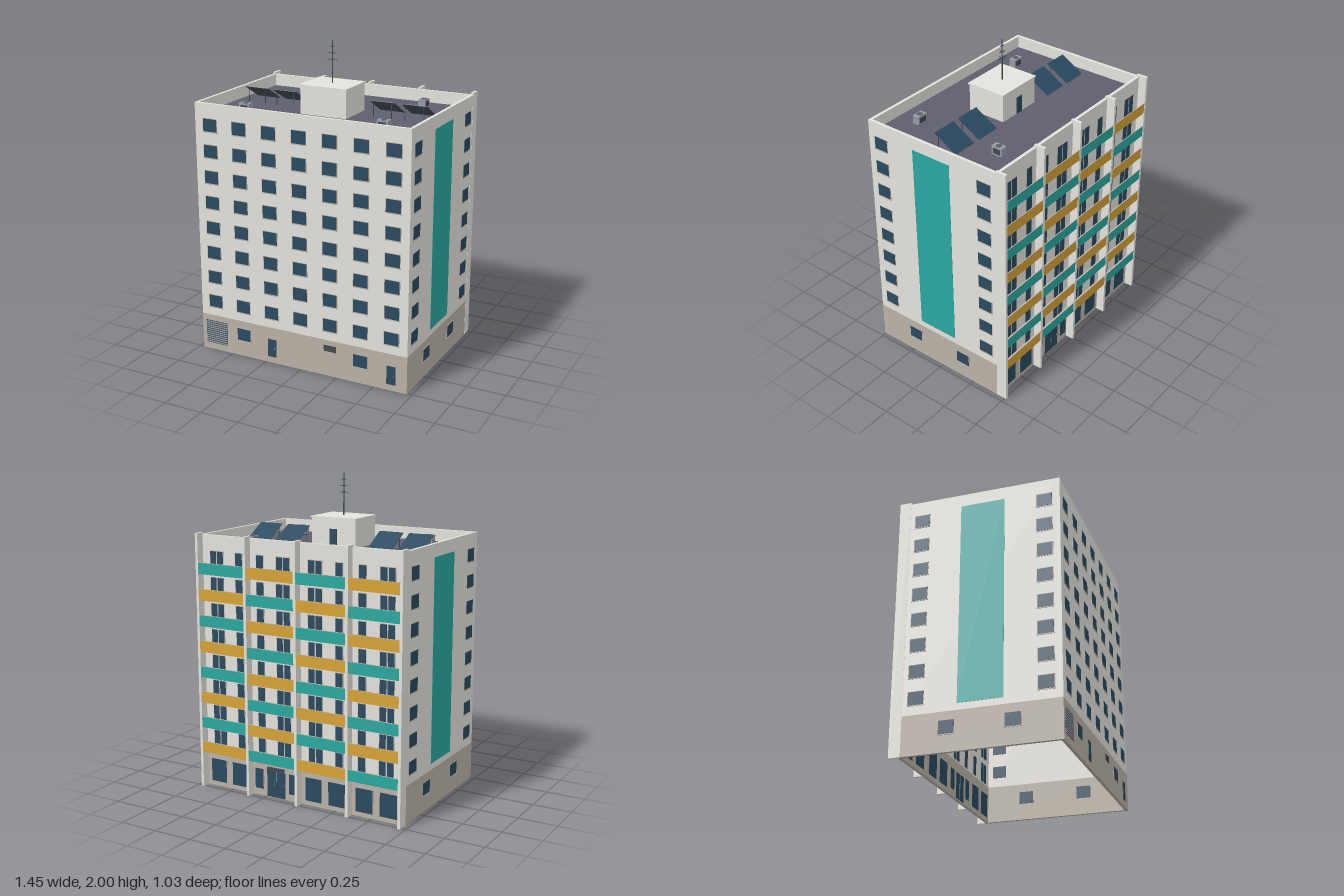
import * as THREE from 'three';

const mat = (name, color) => {
  const m = new THREE.MeshStandardMaterial({ color });
  m.name = name;
  return m;
};

export function createModel() {
  const M = {
    wall: mat('off white plaster', 0xe4e2dc),
    base: mat('taupe stone', 0xbab2a6),
    roof: mat('slate roofing', 0x5e5e6d),
    glass: mat('dark blue glass', 0x2a4a60),
    teal: mat('teal paint', 0x2aa89f),
    ochre: mat('ochre paint', 0xd6a235),
    metal: mat('grey metal', 0x959ca7),
    dark: mat('dark metal', 0x434950),
  };
  const root = new THREE.Group();
  root.name = 'apartmentBlock';

  const group = (name, parent = root) => {
    const g = new THREE.Group();
    g.name = name;
    parent.add(g);
    return g;
  };
  const add = (name, geo, m, x, y, z, parent) => {
    const mesh = new THREE.Mesh(geo, m);
    mesh.name = name;
    mesh.position.set(x, y, z);
    parent.add(mesh);
    return mesh;
  };
  const box = (name, m, w, h, d, x, y, z, parent = root) =>
    add(name, new THREE.BoxGeometry(w, h, d), m, x, y, z, parent);

  // Shell: four walls open underneath, with a stone ground floor
  const HX = 0.719, ZF = 0.508, ZB = -0.458, T = 0.02, MZ = (ZF + ZB) / 2, D = ZF - ZB;
  const ring = (name, m, y0, y1) => {
    const g = group(name), h = y1 - y0, y = (y0 + y1) / 2;
    box('frontWall', m, 2 * HX, h, T, 0, y, ZF - T / 2, g);
    box('backWall', m, 2 * HX, h, T, 0, y, ZB + T / 2, g);
    for (const s of [-1, 1])
      box('sideWall', m, T, h, D - 2 * T, s * (HX - T / 2), y, MZ, g);
  };
  ring('groundFloorWalls', M.base, 0, 0.24);
  ring('upperWalls', M.wall, 0.24, 1.63);
  const DECK = 1.553;
  box('roofDeck', M.roof, 2 * (HX - T), 0.012, D - 2 * T, 0, DECK - 0.006, MZ);

  // Facade frames: local +z points out of the wall, local z = 0 is its surface
  const facade = (name, x, z, ry) => {
    const g = group(name);
    g.position.set(x, 0, z);
    g.rotation.y = ry;
    return g;
  };
  const front = facade('frontFacade', 0, ZF, 0);
  const back = facade('backFacade', 0, ZB, Math.PI);
  const sides = [1, -1].map((s) => ({
    s, g: facade(s > 0 ? 'leftFacade' : 'rightFacade', s * HX, 0, s * Math.PI / 2),
  }));

  // Glazing runs through the wall; the frame and sill stand slightly proud
  const pane = (name, g, u, y, w, h, mFrame = M.base) => {
    box(name + 'Frame', mFrame, w + 0.008, h + 0.008, 0.002, u, y, 0.0005, g);
    box(name + 'Glass', M.glass, w, h, 0.025, u, y, -0.0095, g);
  };
  const windowAt = (g, u, y) => {
    pane('window', g, u, y, 0.094, 0.079);
    box('windowSill', M.base, 0.105, 0.005, 0.004, u, y - 0.044, 0.002, g);
  };
  const doorAt = (g, u, y, w, h) => {
    pane('door', g, u, y, w, h, M.dark);
    box('doorHandle', M.metal, 0.004, 0.01, 0.003, u + w * 0.35, y, 0.004, g);
  };

  const FLOORS = 8, STEP = 0.165, floorY = (i) => 0.24 + i * STEP;
  for (let i = 0; i < FLOORS; i++) {
    const y = floorY(i) + 0.1;
    for (let c = -3; c <= 3; c++) windowAt(front, c * 0.2047, y);
    for (const { s, g } of sides) for (const z of [0.413, -0.36]) windowAt(g, -s * z, y);
  }

  // Side stripes and ground floor windows
  for (const { s, g } of sides) {
    box('sideStripe', M.teal, 0.275, 1.27, 0.003, -s * 0.028, 0.915, 0, g);
    for (const z of [0.22, -0.17]) windowAt(g, -s * z, 0.147);
  }

  // Front ground floor: shutter, windows, doors and vent
  for (const u of [-0.41, 0.41]) windowAt(front, u, 0.147);
  for (const u of [-0.205, 0.615]) doorAt(front, u, 0.1, 0.052, 0.112);
  box('shutterBack', M.dark, 0.158, 0.156, 0.024, -0.613, 0.122, -0.011, front);
  for (let i = 0; i < 11; i++)
    box('shutterSlat', M.metal, 0.152, 0.007, 0.002, -0.613, 0.052 + i * 0.014, 0.002, front);
  box('ventGrille', M.dark, 0.085, 0.04, 0.024, 0.205, 0.185, -0.01, front);

  // Back piers
  for (let i = -2; i <= 2; i++) {
    const x = Math.abs(i) === 2 ? Math.sign(i) * 0.711 : i * 0.357;
    box('pier', M.wall, 0.018, 1.642, 0.072, x, 0.821, -0.477);
  }

  // Balconies: bay 0 is at the model's left, colours alternate, bays mirror in pairs
  const BAY = 0.355;
  for (let b = 0; b < 4; b++) {
    const u = (b - 1.5) * BAY, flip = b % 2 ? -1 : 1;
    for (let i = 0; i < FLOORS; i++) {
      const y = floorY(i), g = group('balcony', back);
      box('balconySlab', M.base, BAY - 0.016, 0.014, 0.05, u, y, 0.025, g);
      box('balconyParapet', (i + b) % 2 ? M.teal : M.ochre, BAY - 0.016, 0.07, 0.003, u, y + 0.028, 0.0515, g);
      box('balconyRail', M.base, BAY - 0.016, 0.003, 0.005, u, y + 0.0645, 0.0515, g);
      for (const k of [-0.026, 0.026]) pane('balconyDoor', g, u - flip * 0.065 + k, y + 0.072, 0.042, 0.125);
      pane('balconyDoor', g, u + flip * 0.1, y + 0.072, 0.048, 0.125);
    }
    // Ground floor openings
    if (b === 1) {
      const g = group('entrance', back);
      for (const k of [-0.034, 0.034]) doorAt(g, u + k, 0.09, 0.058, 0.165);
      box('entranceCanopy', M.dark, 0.12, 0.018, 0.015, u, 0.19, 0.0075, g);
      for (const k of [-0.125, 0.125]) pane('entranceWindow', g, u + k, 0.11, 0.06, 0.13);
    } else {
      for (const k of [-0.082, 0.082]) pane('shopWindow', back, u + k, 0.105, 0.115, 0.15);
    }
  }

  // Stair house on the roof with its door
  const house = group('stairHouse');
  box('stairHouseWalls', M.wall, 0.31, 1.725 - DECK, 0.255, 0, (1.725 + DECK) / 2, 0.074, house);
  box('stairHouseRoof', M.wall, 0.322, 0.011, 0.267, 0, 1.7305, 0.074, house);
  box('stairHouseDoor', M.glass, 0.05, 0.11, 0.006, 0, DECK + 0.055, -0.0545, house);

  // Antenna
  const mast = group('antenna');
  add('mast', new THREE.CylinderGeometry(0.003, 0.004, 0.265, 8), M.dark, 0, 1.8675, 0.074, mast);
  [[1.88, 0.07], [1.92, 0.052], [1.96, 0.034]].forEach(([y, w]) => {
    box('antennaBar', M.dark, w, 0.003, 0.003, 0, y, 0.074, mast);
    box('antennaCrossBar', M.dark, 0.003, 0.003, w * 0.7, 0, y, 0.074, mast);
  });

  // Solar panels, raised at the front and tilted to the back
  const TILT = Math.PI / 6;
  for (const x of [-0.542, -0.338, 0.333, 0.542]) {
    const g = group('solarPanel');
    const p = group('tiltedPanel', g);
    p.position.set(x, 1.609, -0.003);
    p.rotation.x = -TILT;
    box('panelBacking', M.dark, 0.165, 0.001, 0.178, 0, -0.0015, 0, p);
    box('panelGlass', M.glass, 0.165, 0.002, 0.178, 0, 0, 0, p);
    for (const s of [-1, 1])
      box('panelLeg', M.dark, 0.004, 1.645 - DECK, 0.004, x + s * 0.06, (1.645 + DECK) / 2, 0.066, g);
  }

  // Roof ventilation units
  [[-0.465, 0.33, 0], [0.465, 0.33, 0], [0.462, -0.265, Math.PI / 2]].forEach(([x, z, r]) => {
    const g = group('ventUnit');
    g.position.set(x, DECK, z);
    g.rotation.y = r;
    box('ventUnitBody', M.metal, 0.073, 0.056, 0.046, 0, 0.034, 0, g);
    for (const s of [-1, 1]) box('ventUnitFoot', M.dark, 0.008, 0.006, 0.046, s * 0.026, 0.003, 0, g);
    add('ventFan', new THREE.CylinderGeometry(0.019, 0.019, 0.003, 16), M.roof, 0, 0.0625, 0, g);
    for (const s of [-1, 1]) box('ventUnitGrille', M.dark, 0.05, 0.035, 0.002, 0, 0.034, s * 0.023, g);
  });

  return root;
}
